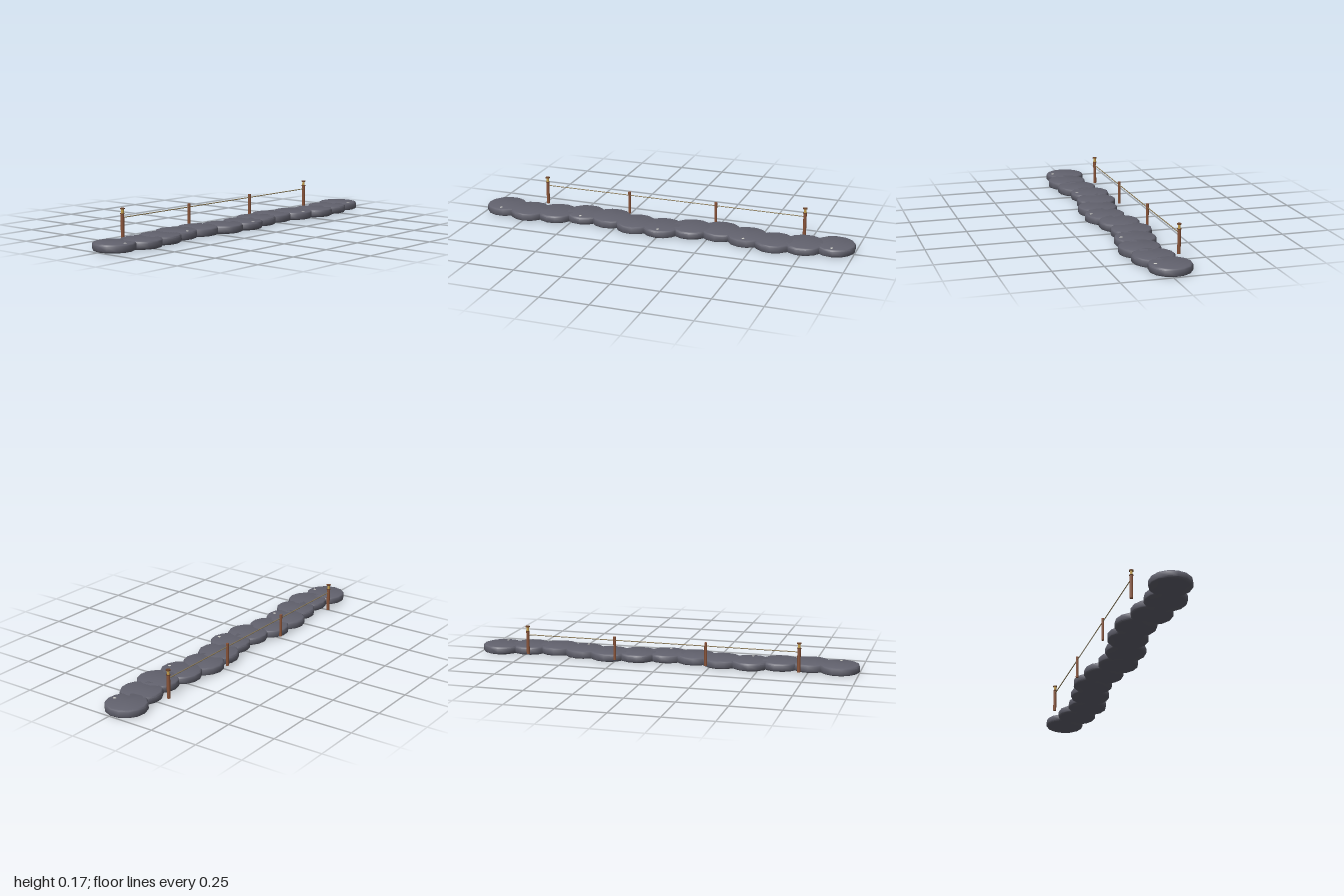
import * as THREE from 'three';
import { toCreasedNormals } from 'three/addons/utils/BufferGeometryUtils.js';

export function createModel() {
  const model = new THREE.Group();
  model.name = 'steppingStonePath';

  const mat = (name, color) => {
    const m = new THREE.MeshStandardMaterial({ color });
    m.name = name;
    return m;
  };
  const stone = mat('slateStone', 0x62626e);
  const pebbleMat = mat('palePebble', 0xd2d2cc);
  const wood = mat('brownWood', 0x8a5439);
  const capMat = mat('darkWood', 0x6e452c);
  const brass = mat('lampBrass', 0xc9a24e);
  const ropeMat = mat('rope', 0x8f7d58);

  const add = (parent, name, geometry, material, x, y, z) => {
    const mesh = new THREE.Mesh(geometry, material);
    mesh.name = name;
    mesh.position.set(x, y, z);
    parent.add(mesh);
    return mesh;
  };

  // Round slabs with softened rims, weaving gently from side to side
  const profile = [[0, 0], [0.094, 0], [0.101, 0.003], [0.104, 0.008], [0.104, 0.032], [0.101, 0.038], [0.095, 0.04], [0, 0.04]]
    .map(([r, y]) => new THREE.Vector2(r, y));
  const slab = toCreasedNormals(new THREE.LatheGeometry(profile, 14), 0.9);
  const pebble = new THREE.SphereGeometry(0.01, 6, 4);
  pebble.scale(1, 0.25, 0.8);

  for (let i = 0; i < 13; i++) {
    const x = 0.004 + 0.027 * Math.sin(1.4 * i);
    const z = 0.897 - 0.1495 * i;
    add(model, 'steppingStone', slab, stone, x, 0, z).rotation.y = i * 0.7;
    // Every third slab carries a small pale pebble
    if (i % 3 === 0) add(model, 'pebble', pebble, pebbleMat, x + 0.072, 0.04, z);
  }

  // Posts along one side: tall lamp posts at the ends, plain ones between
  const postX = -0.126;
  const cylinder = (r, h) => new THREE.CylinderGeometry(r, r, h, 8);
  for (const side of [-1, 1]) {
    const lampPost = new THREE.Group();
    lampPost.name = 'lampPost';
    lampPost.position.set(postX, 0, side * 0.714);
    add(lampPost, 'post', cylinder(0.0088, 0.12), wood, 0, 0.078, 0);
    add(lampPost, 'collar', cylinder(0.0105, 0.004), capMat, 0, 0.139, 0);
    add(lampPost, 'lamp', cylinder(0.007, 0.02), brass, 0, 0.151, 0);
    add(lampPost, 'lampCap', cylinder(0.012, 0.005), capMat, 0, 0.1635, 0);
    model.add(lampPost);

    add(model, 'middlePost', cylinder(0.0075, 0.12), wood, postX, 0.078, side * 0.24);
  }

  // Taut rope handrail
  const rope = cylinder(0.0025, 1.428);
  rope.rotateX(Math.PI / 2);
  add(model, 'ropeRail', rope, ropeMat, postX, 0.12, 0);

  return model;
}
